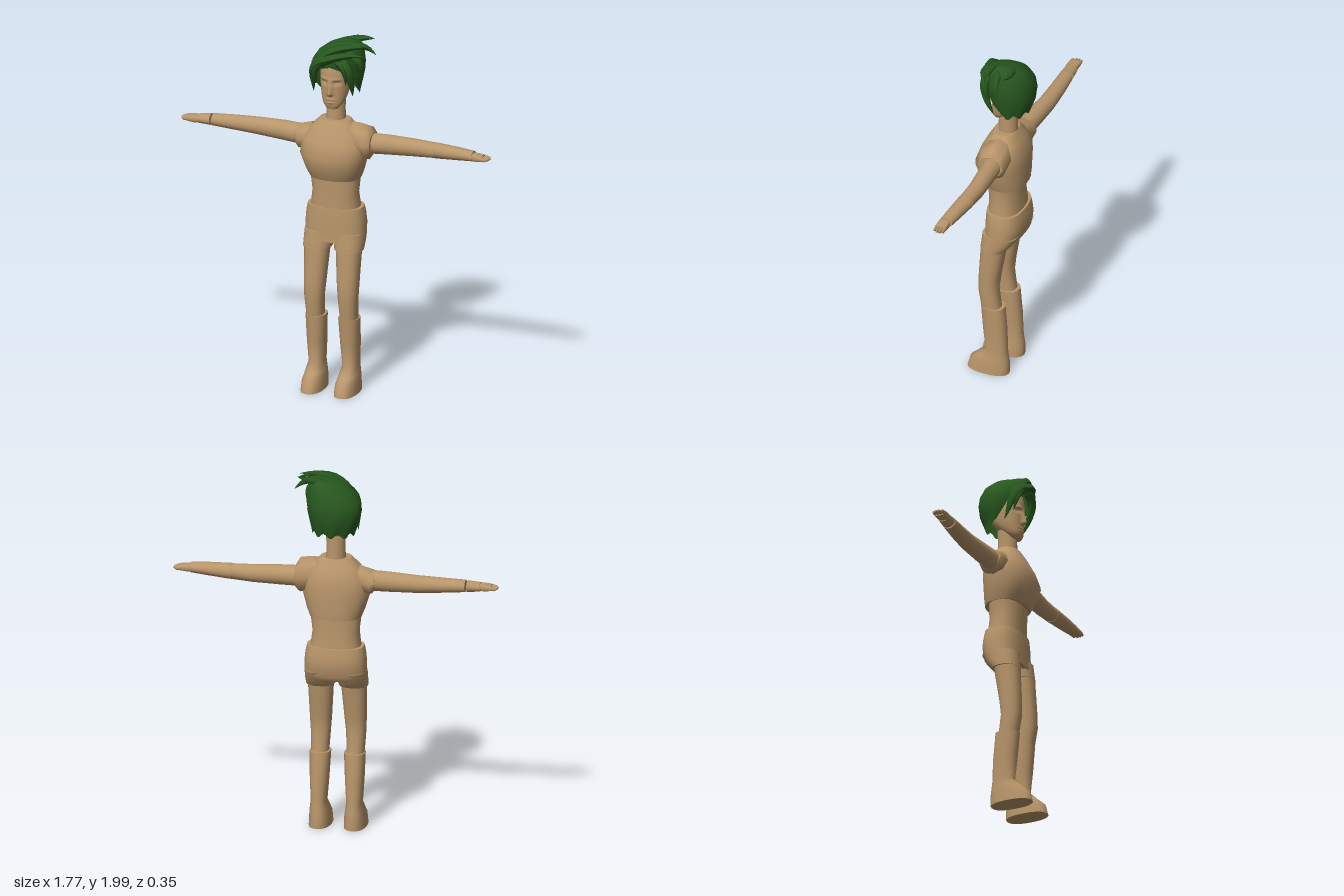
import * as THREE from 'three';

const skin = new THREE.MeshStandardMaterial({ color: 0xb8956a });
skin.name = 'tan skin';
const green = new THREE.MeshStandardMaterial({ color: 0x28581f, side: THREE.DoubleSide });
green.name = 'green hair';

// Capped loft of rounded sections. Axis 'y': [y, z0, z1, x0, x1]; axis 'x': [x, y0, y1, z0, z1].
function loft(axis, sections, segs = 20, power = 1) {
  const pos = [], idx = [];
  const round = (v) => Math.sign(v) * Math.abs(v) ** power;
  const put = (t, u, v) => (axis === 'y' ? pos.push(v, t, u) : pos.push(t, u, v));
  const ring = ([t, u0, u1, v0, v1]) => {
    for (let j = 0; j < segs; j++) {
      const a = (j / segs) * Math.PI * 2;
      put(t, (u0 + u1) / 2 + round(Math.cos(a)) * (u1 - u0) / 2, (v0 + v1) / 2 + round(Math.sin(a)) * (v1 - v0) / 2);
    }
  };
  sections.forEach(ring);
  for (let i = 0; i < sections.length - 1; i++) {
    for (let j = 0; j < segs; j++) {
      const a = i * segs + j, b = i * segs + (j + 1) % segs;
      idx.push(a, b, b + segs, a, b + segs, a + segs);
    }
  }
  // end caps have their own vertices, so the rims stay sharp
  [sections[0], sections[sections.length - 1]].forEach((s, end) => {
    const base = pos.length / 3;
    ring(s);
    put(s[0], (s[1] + s[2]) / 2, (s[3] + s[4]) / 2);
    for (let j = 0; j < segs; j++) {
      const a = base + j, b = base + (j + 1) % segs;
      idx.push(base + segs, ...(end ? [a, b] : [b, a]));
    }
  });
  return finish(pos, idx);
}

function finish(pos, idx) {
  const g = new THREE.BufferGeometry();
  g.setAttribute('position', new THREE.Float32BufferAttribute(pos, 3));
  g.setIndex(idx);
  g.computeVertexNormals();
  return g;
}

// Spline through sections, every column together
function smooth(sections, n) {
  const columns = sections[0].map((_, k) => new THREE.SplineCurve(sections.map((s, i) => new THREE.Vector2(i, s[k]))));
  return Array.from({ length: n + 1 }, (_, i) => columns.map((c) => c.getPoint(i / n).y));
}

const mirrorY = (list) => list.map(([y, z0, z1, x0, x1]) => [y, z0, z1, -x1, -x0]);
const mirrorX = (list) => list.map(([x, ...rest]) => [-x, ...rest]).reverse();

// Head with sockets, brow, nose and lips pushed out of a smooth loft
function headGeometry() {
  const g = loft('y', smooth([
    [1.605, 0.015, 0.06, -0.03, 0.03], [1.63, -0.02, 0.069, -0.052, 0.052], [1.67, -0.065, 0.072, -0.068, 0.068],
    [1.72, -0.1, 0.074, -0.077, 0.077], [1.78, -0.12, 0.076, -0.082, 0.082], [1.84, -0.125, 0.07, -0.08, 0.08],
    [1.9, -0.11, 0.045, -0.065, 0.065], [1.94, -0.07, 0.0, -0.03, 0.03],
  ], 70), 96, 0.9);
  const p = g.attributes.position;
  const bump = (x, y, cx, cy, sx, sy) => Math.exp(-(((x - cx) / sx) ** 2) - ((y - cy) / sy) ** 2);
  for (let i = 0; i < p.count; i++) {
    const x = p.getX(i), y = p.getY(i), z = p.getZ(i);
    if (z < 0.02) continue;
    const ax = Math.abs(x);
    const bridge = y > 1.695 ? Math.max(0, 1 - (y - 1.695) / 0.085) : Math.max(0, 1 - (1.695 - y) / 0.014);
    let d = 0.026 * bridge * Math.exp(-((x / 0.013) ** 2));
    d -= 0.014 * bump(ax, y, 0.036, 1.757, 0.018, 0.01);
    d += 0.006 * bump(ax, y, 0.036, 1.754, 0.012, 0.005);
    d += 0.005 * bump(ax, y, 0.034, 1.778, 0.028, 0.007);
    d += 0.006 * bump(x, y, 0, 1.661, 0.024, 0.005) + 0.006 * bump(x, y, 0, 1.645, 0.02, 0.006);
    d -= 0.004 * bump(x, y, 0, 1.653, 0.028, 0.003);
    p.setZ(i, z + d);
  }
  g.computeVertexNormals();
  return g;
}

// Hair shell, open over the face: [y, z0, z1, x0, x1, half opening angle]
function hairGeometry() {
  const rows = [
    [1.685, -0.14, 0.05, -0.11, 0.12, 1.45], [1.75, -0.165, 0.08, -0.133, 0.137, 1.1],
    [1.81, -0.172, 0.095, -0.145, 0.15, 0.85], [1.855, -0.17, 0.1, -0.135, 0.155, 0],
    [1.91, -0.155, 0.095, -0.098, 0.15, 0], [1.95, -0.13, 0.075, -0.045, 0.142, 0],
    [1.975, -0.1, 0.05, 0.01, 0.13, 0], [1.985, -0.03, -0.02, 0.075, 0.08, 0],
  ];
  const n = 40, pos = [], idx = [];
  rows.forEach(([y, z0, z1, x0, x1, open], i) => {
    for (let j = 0; j <= n; j++) {
      const a = open + (j / n) * 2 * (Math.PI - open);
      const hem = i === 0 ? 0.012 * Math.cos(j * Math.PI / 4) : 0;
      pos.push((x0 + x1) / 2 + Math.sin(a) * (x1 - x0) / 2, y + hem, (z0 + z1) / 2 + Math.cos(a) * (z1 - z0) / 2);
      if (i && j) {
        const d = i * (n + 1) + j, b = d - n - 1;
        idx.push(b - 1, b, d, b - 1, d, d - 1);
      }
    }
  });
  return finish(pos, idx);
}

// Curved lock of hair tapering to a point
function lockGeometry(points, width) {
  const curve = new THREE.CatmullRomCurve3(points.map((q) => new THREE.Vector3(...q)));
  const n = 10, sides = 6;
  const g = new THREE.TubeGeometry(curve, n, 1, sides);
  const p = g.attributes.position, v = new THREE.Vector3();
  for (let i = 0; i < p.count; i++) {
    const u = Math.floor(i / (sides + 1)) / n, c = curve.getPointAt(u);
    v.fromBufferAttribute(p, i).sub(c).multiplyScalar(width * (0.5 + u) * (1 - u) * 1.75 + 0.0005).add(c);
    p.setXYZ(i, v.x, v.y, v.z);
  }
  g.computeVertexNormals();
  return g;
}

export function createModel() {
  const model = new THREE.Group();
  model.name = 'figure';
  const add = (name, geometry, material = skin) => {
    const mesh = new THREE.Mesh(geometry, material);
    mesh.name = name;
    model.add(mesh);
  };

  // Head, neck and trunk
  add('head', headGeometry());
  add('neck', loft('y', [[1.5, -0.07, 0.04, -0.055, 0.055], [1.59, -0.068, 0.036, -0.051, 0.051], [1.66, -0.07, 0.035, -0.053, 0.053]]));
  add('chest', loft('y', [
    [1.205, -0.125, 0.095, -0.14, 0.14], [1.25, -0.128, 0.118, -0.158, 0.158], [1.34, -0.128, 0.148, -0.185, 0.185],
    [1.42, -0.125, 0.118, -0.18, 0.18], [1.48, -0.1, 0.088, -0.138, 0.138], [1.535, -0.07, 0.055, -0.085, 0.085],
  ], 28, 0.85));
  add('waist', loft('y', [
    [1.03, -0.108, 0.075, -0.138, 0.138], [1.12, -0.1, 0.076, -0.127, 0.127], [1.21, -0.1, 0.078, -0.138, 0.138],
  ], 24, 0.85));
  add('shorts', loft('y', [
    [0.85, -0.095, 0.088, -0.166, 0.166], [0.88, -0.118, 0.086, -0.168, 0.168], [0.95, -0.13, 0.085, -0.168, 0.168],
    [1.0, -0.125, 0.083, -0.163, 0.163], [1.04, -0.118, 0.08, -0.155, 0.155],
  ], 28, 0.8));

  // Legs
  const legParts = {
    ShortsLeg: [[0.805, -0.052, 0.096, 0.012, 0.168], [0.85, -0.09, 0.091, 0.004, 0.169], [0.9, -0.115, 0.086, 0, 0.168]],
    Leg: [[0.4, -0.02, 0.09, 0.05, 0.143], [0.53, -0.002, 0.11, 0.043, 0.15], [0.62, -0.012, 0.107, 0.035, 0.154], [0.83, -0.047, 0.094, 0.02, 0.16]],
    Boot: [
      [0, -0.065, 0.175, 0.035, 0.157], [0.06, -0.066, 0.16, 0.038, 0.153], [0.1, -0.06, 0.115, 0.045, 0.148],
      [0.145, -0.055, 0.07, 0.054, 0.14], [0.27, -0.05, 0.083, 0.045, 0.147], [0.42, -0.036, 0.095, 0.037, 0.151],
    ],
  };
  for (const [part, list] of Object.entries(legParts)) {
    add('left' + part, loft('y', list, 20, 0.85));
    add('right' + part, loft('y', mirrorY(list), 20, 0.85));
  }

  // Shoulder pads, the left one larger
  add('leftShoulderPad', loft('x', [[0.1, 1.36, 1.525, -0.08, 0.06], [0.14, 1.33, 1.525, -0.096, 0.078], [0.195, 1.32, 1.515, -0.095, 0.078], [0.218, 1.355, 1.475, -0.085, 0.06]], 8));
  add('rightShoulderPad', loft('x', [[-0.22, 1.37, 1.46, -0.08, 0.05], [-0.195, 1.335, 1.475, -0.09, 0.065], [-0.13, 1.34, 1.495, -0.085, 0.065]], 8));

  // Arms: the right glove is parted from its sleeve by a narrow gap
  const upperArm = [[0.18, 1.355, 1.468, -0.068, 0.042], [0.3, 1.36, 1.469, -0.075, 0.025], [0.45, 1.367, 1.463, -0.08, 0.012], [0.58, 1.376, 1.458, -0.074, 0.013]];
  add('leftArm', loft('x', upperArm));
  add('leftForearm', loft('x', [[0.57, 1.374, 1.46, -0.075, 0.015], [0.7, 1.384, 1.455, -0.064, 0.018], [0.79, 1.392, 1.447, -0.055, 0.02]]));
  add('rightArm', loft('x', mirrorX([...upperArm, [0.71, 1.386, 1.452, -0.062, 0.016]])));
  add('rightCuff', loft('x', mirrorX([[0.72, 1.387, 1.45, -0.061, 0.016], [0.79, 1.393, 1.442, -0.052, 0.018]])));
  const hand = [[0.77, 1.4, 1.438, -0.04, 0.014], [0.81, 1.395, 1.438, -0.046, 0.02], [0.85, 1.401, 1.432, -0.046, 0.02]];
  add('leftHand', loft('x', hand, 16, 0.7));
  add('rightHand', loft('x', mirrorX(hand), 16, 0.7));
  for (let k = 0; k < 4; k++) {
    const z = -0.045 + k * 0.016, tip = [0.878, 0.885, 0.884, 0.876][k];
    const finger = [[0.83, 1.405, 1.43, z, z + 0.0165], [tip - 0.012, 1.404, 1.426, z, z + 0.0165], [tip, 1.409, 1.421, z + 0.004, z + 0.012]];
    add('leftFinger', loft('x', finger, 8));
    add('rightFinger', loft('x', mirrorX(finger), 8));
  }

  // Hair shell with swept spikes and side locks
  add('hair', hairGeometry(), green);
  const locks = [
    [[[-0.08, 1.87, 0.06], [0.02, 1.945, 0.075], [0.12, 1.97, 0.05], [0.21, 1.965, 0.0]], 0.026],
    [[[-0.03, 1.93, 0.0], [0.06, 1.97, 0.03], [0.14, 1.98, 0.03], [0.205, 1.975, 0.03]], 0.022],
    [[[0.0, 1.94, -0.06], [0.09, 1.972, -0.08], [0.15, 1.982, -0.085], [0.2, 1.99, -0.07]], 0.022],
    [[[0.02, 1.92, 0.02], [0.12, 1.96, -0.01], [0.18, 1.945, -0.03], [0.222, 1.91, -0.04]], 0.024],
    [[[-0.1, 1.85, 0.05], [0.0, 1.9, 0.09], [0.1, 1.93, 0.085], [0.19, 1.92, 0.04]], 0.026],
    [[[0.05, 1.92, 0.05], [0.12, 1.92, 0.06], [0.16, 1.88, 0.05], [0.165, 1.81, 0.03]], 0.026],
    [[[0.03, 1.9, 0.08], [-0.05, 1.88, 0.09], [-0.095, 1.83, 0.07], [-0.115, 1.68, 0.02]], 0.026],
    [[[0.0, 1.88, 0.08], [-0.06, 1.86, 0.09], [-0.085, 1.81, 0.08], [-0.085, 1.74, 0.06]], 0.02],
    [[[0.06, 1.9, 0.07], [0.1, 1.86, 0.08], [0.115, 1.78, 0.06], [0.11, 1.68, 0.02]], 0.025],
    [[[0.03, 1.89, 0.08], [0.07, 1.87, 0.09], [0.09, 1.82, 0.08], [0.085, 1.75, 0.06]], 0.018],
  ];
  locks.forEach(([points, width]) => add('hairLock', lockGeometry(points, width), green));
  return model;
}
